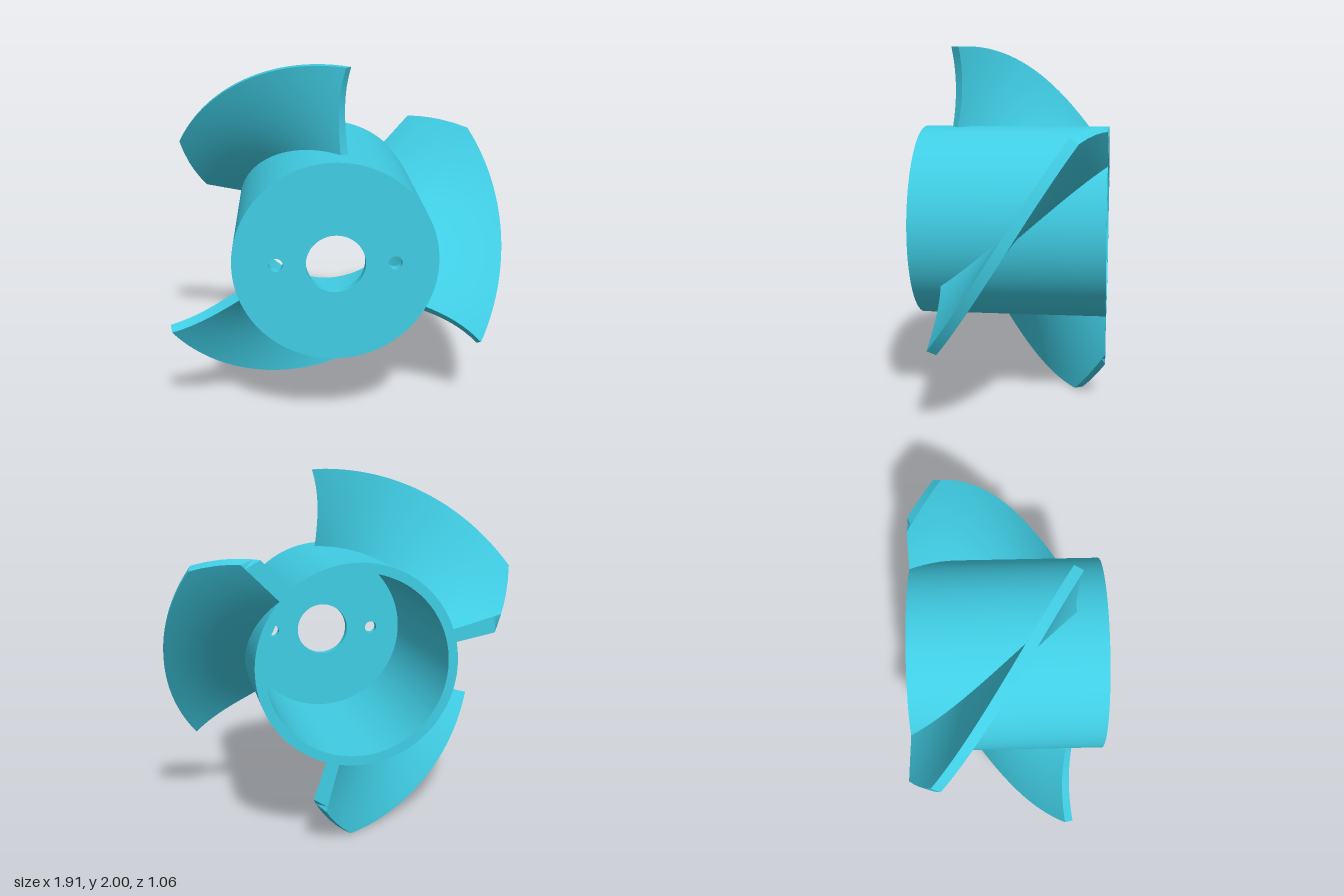
import * as THREE from 'three';
import { toCreasedNormals } from 'three/addons/utils/BufferGeometryUtils.js';

const HUB_R = 0.547, BORE_R = 0.495, HALF = 0.53, TIP_R = 1;
const TWIST = 1.597;      // helix angle per unit of length
const THICK = 0.055;      // blade thickness, measured along its normal

const material = new THREE.MeshStandardMaterial({ color: 0x40cde4 });

function part(name, geometry, crease = 0.5) {
  const mesh = new THREE.Mesh(toCreasedNormals(geometry, crease), material);
  mesh.name = name;
  return mesh;
}

// Tubular hub wall, open at the back
function hubShell() {
  const profile = [[BORE_R, -HALF], [HUB_R, -HALF], [HUB_R, HALF], [BORE_R, HALF], [BORE_R, -HALF]]
    .map(([r, y]) => new THREE.Vector2(r, y));
  return part('hubShell', new THREE.LatheGeometry(profile, 96).rotateX(Math.PI / 2));
}

// Front plate with the shaft hole and two pin holes
function hubPlate() {
  const shape = new THREE.Shape().absarc(0, 0, BORE_R, 0, Math.PI * 2);
  for (const [x, r] of [[0, 0.158], [-0.315, 0.037], [0.315, 0.037]]) {
    shape.holes.push(new THREE.Path().absarc(x, 0, r, 0, Math.PI * 2, true));
  }
  const depth = 0.05;
  const geometry = new THREE.ExtrudeGeometry(shape, { depth, bevelEnabled: false, curveSegments: 48 });
  return part('hubPlate', geometry.translate(0, 0, HALF - depth));
}

// Helicoid blade: a closed section at each radius, front face then back face
function bladeGeometry() {
  const N = 40, M = 2 * (N + 1);
  const radii = [0.515, HUB_R, 0.6, 0.65, 0.7, 0.735, 0.764, 0.79, 0.82, 0.86, 0.9, 0.95, TIP_R];
  const pos = [], index = [];
  for (const r of radii) {
    const slope = Math.hypot(1, TWIST * r);
    const dz = THICK * TWIST * r / slope;          // offset of the back face
    const dAngle = THICK / slope / r;
    const u = (r - HUB_R) / (TIP_R - HUB_R);
    const lead = 0.367 - 0.07 * u * (1 - u);       // slightly bowed leading edge
    const trim = -0.35 - (TIP_R - r) * 0.763;      // trimmed outer trailing corner
    for (let i = 0; i < M; i++) {
      const back = i > N;
      const v = (back ? M - 1 - i : i) / N;
      const end = Math.max(trim, back ? dz - HALF : -HALF);
      const s = lead + (end - lead) * v;
      const angle = -TWIST * s - (back ? dAngle : 0);
      pos.push(r * Math.cos(angle), r * Math.sin(angle), s - (back ? dz : 0));
    }
  }
  // skin between neighbouring sections
  for (let k = 0; k < radii.length - 1; k++) {
    for (let i = 0; i < M; i++) {
      const j = (i + 1) % M, a = k * M, b = a + M;
      index.push(a + i, b + i, b + j, a + i, b + j, a + j);
    }
  }
  // rim at the tip and cap inside the hub wall
  const o = (radii.length - 1) * M;
  for (let i = 0; i < N; i++) {
    const f = i, g = i + 1, bf = M - 1 - i, bg = M - 2 - i;
    index.push(o + f, o + bf, o + g, o + g, o + bf, o + bg);
    index.push(f, g, bf, g, bg, bf);
  }
  const geometry = new THREE.BufferGeometry();
  geometry.setAttribute('position', new THREE.Float32BufferAttribute(pos, 3));
  geometry.setIndex(index);
  return geometry;
}

export function createModel() {
  const group = new THREE.Group();
  group.name = 'impeller';
  group.add(hubShell(), hubPlate());
  const blade = bladeGeometry();
  for (let i = 0; i < 3; i++) {
    const mesh = part('blade' + (i + 1), blade);
    mesh.rotation.z = i * Math.PI * 2 / 3;
    group.add(mesh);
  }
  group.position.set(-0.049, 1.001, 0);
  const model = new THREE.Group();
  model.add(group);
  return model;
}
